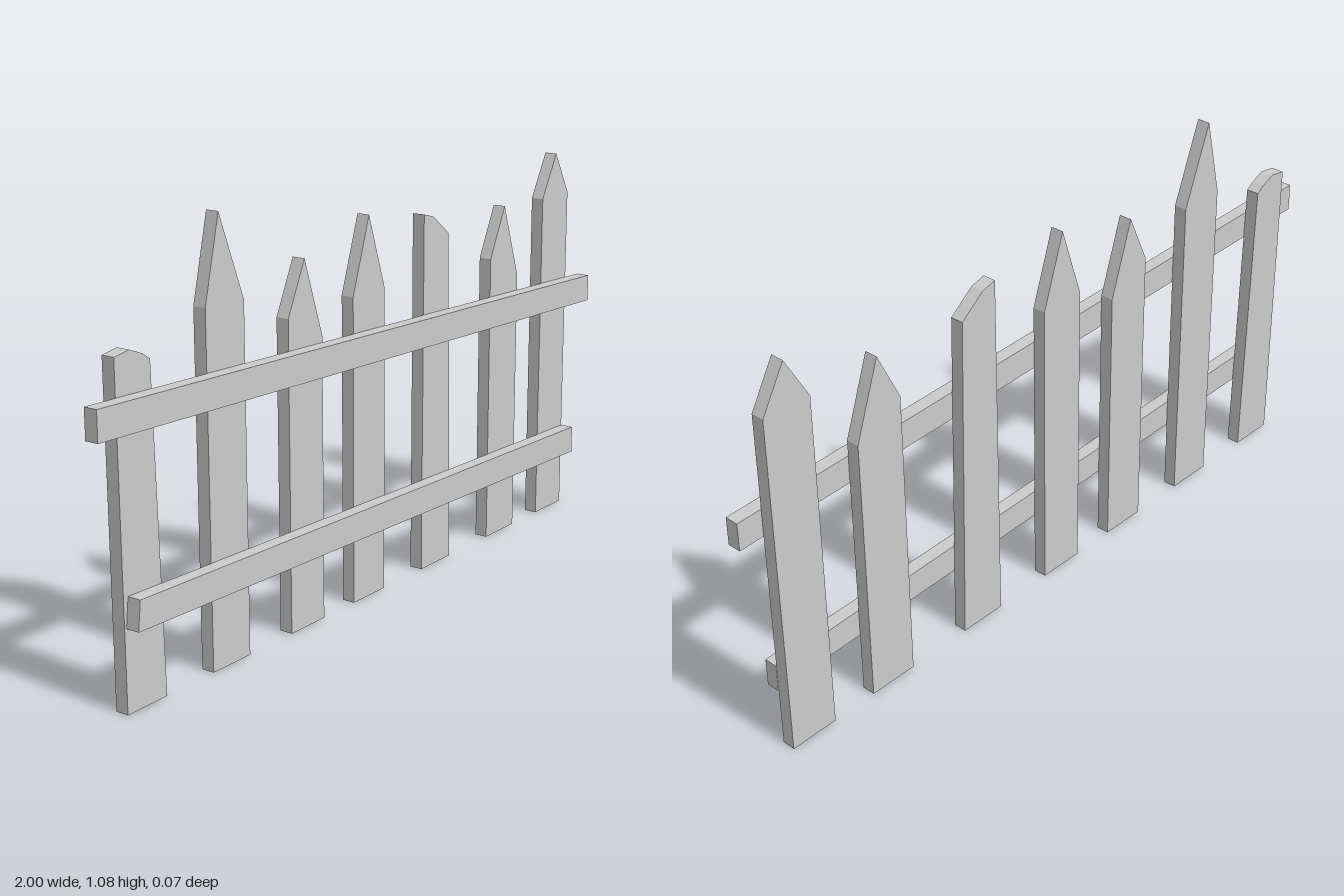
import * as THREE from 'three';

const material = new THREE.MeshStandardMaterial({ color: 0xcccccc, flatShading: true });

// A flat board: an outline in x and y, given thickness along z.
function board(name, outline, z, depth) {
  const shape = new THREE.Shape(outline.map(([x, y]) => new THREE.Vector2(x, y)));
  const geometry = new THREE.ExtrudeGeometry(shape, { depth, bevelEnabled: false });
  const mesh = new THREE.Mesh(geometry, material);
  mesh.name = name;
  mesh.position.z = z;
  return mesh;
}

export function createModel() {
  const fence = new THREE.Group();
  fence.name = 'picketFence';

  // Pickets: bottom left x, bottom right x, then the top outline from right to left
  const pickets = [
    [-0.903, -0.775, [[-0.797, 0.79], [-0.82, 0.806], [-0.86, 0.822], [-0.907, 0.815]]],
    [-0.615, -0.483, [[-0.483, 0.862], [-0.565, 1.075], [-0.615, 0.866]]],
    [-0.325, -0.196, [[-0.196, 0.72], [-0.262, 0.92], [-0.325, 0.786]]],
    [-0.073, 0.057, [[0.057, 0.793], [-0.008, 0.986], [-0.073, 0.793]]],
    [0.225, 0.357, [[0.337, 0.888], [0.268, 0.941], [0.227, 0.952]]],
    [0.54, 0.675, [[0.675, 0.72], [0.605, 0.92], [0.54, 0.786]]],
    [0.8, 0.932, [[0.932, 0.915], [0.866, 1.03], [0.8, 0.912]]],
  ];
  pickets.forEach(([left, right, top], i) => {
    fence.add(board(`picket${i + 1}`, [[left, 0], [right, 0], ...top], -0.035, 0.035));
  });

  // Sloping rails across the front
  fence.add(board('upperRail', [[-1, 0.655], [1, 0.595], [1, 0.668], [-1, 0.729]], 0, 0.036));
  fence.add(board('lowerRail', [[-0.898, 0.203], [0.933, 0.157], [0.933, 0.231], [-0.89, 0.276]], 0, 0.036));

  return fence;
}
